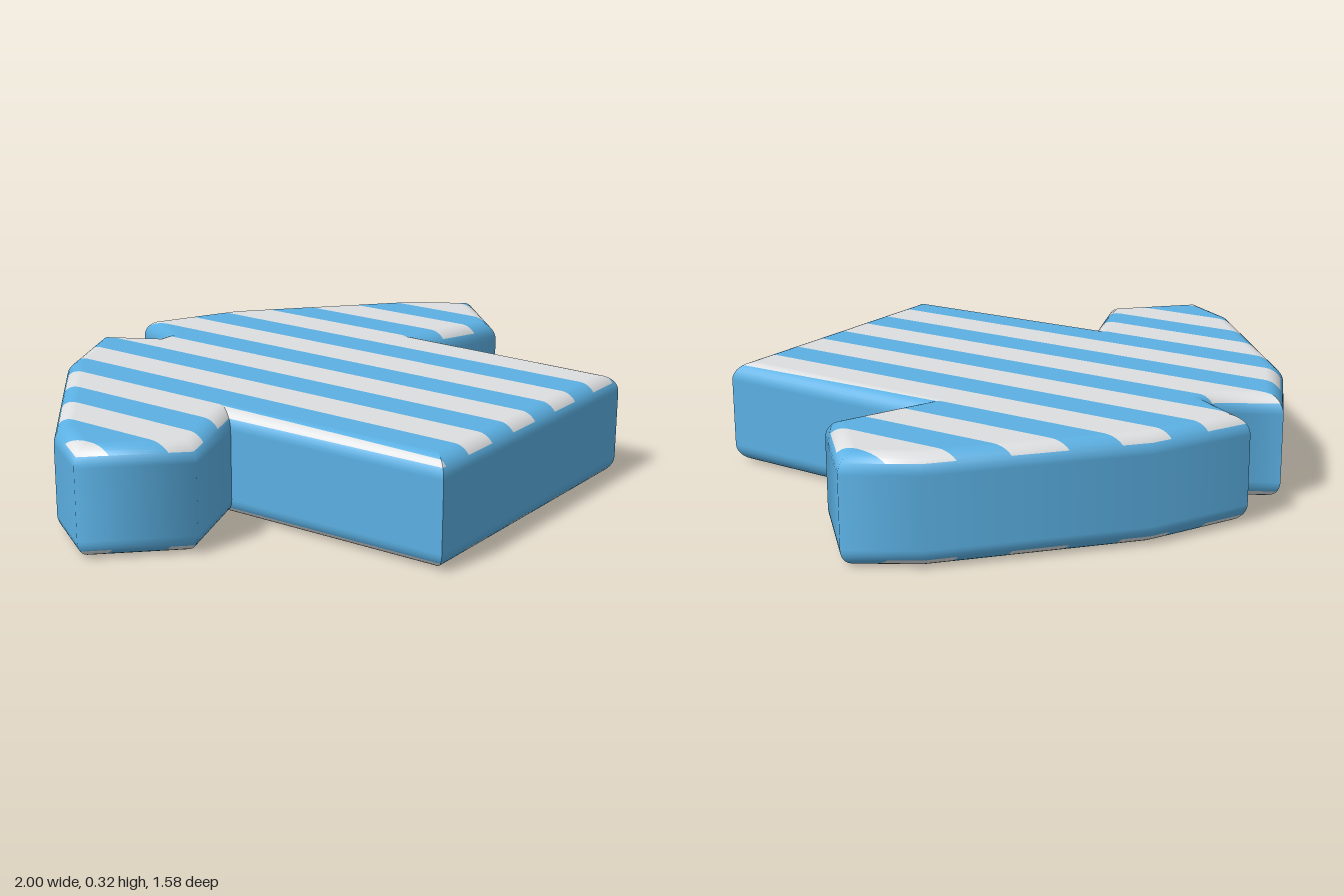
import * as THREE from 'three';

const HEIGHT = 0.318, RADIUS = 0.055, STEPS = 8, STRIPE_STEP = 3;
const PERIOD = 0.2318, BLUE_WIDTH = 0.112;

// Right half of the shirt outline as (x, z), from neck notch to hem
const HALF = [[0.012, -0.625], [0.108, -0.79], [0.405, -0.65], [0.885, -0.23],
  [1, -0.042], [0.77, 0.187], [0.502, 0.085], [0.488, 0.787]];

// Collects triangles, turning each one to agree with its normals
class Surface {
  positions = [];
  normals = [];
  addPolygon(corners) {
    for (let i = 1; i + 1 < corners.length; i++) {
      const t = [corners[0], corners[i], corners[i + 1]];
      const face = t[1].p.clone().sub(t[0].p).cross(t[2].p.clone().sub(t[0].p));
      if (face.lengthSq() < 1e-16) continue;
      const sum = t[0].n.clone().add(t[1].n).add(t[2].n);
      if (face.dot(sum) < 0) t.reverse();
      for (const v of t) {
        this.positions.push(...v.p.toArray());
        this.normals.push(...v.n.toArray());
      }
    }
  }
  mesh(name, material) {
    const g = new THREE.BufferGeometry();
    g.setAttribute('position', new THREE.Float32BufferAttribute(this.positions, 3));
    g.setAttribute('normal', new THREE.Float32BufferAttribute(this.normals, 3));
    const m = new THREE.Mesh(g, material);
    m.name = name;
    return m;
  }
}

// Keeps the part of a convex polygon where side * (x - limit) >= 0
function clip(poly, limit, side) {
  const out = [];
  poly.forEach((a, i) => {
    const b = poly[(i + 1) % poly.length];
    const da = side * (a.p.x - limit), db = side * (b.p.x - limit);
    if (da >= 0) out.push(a);
    if (da * db < 0) {
      const t = da / (da - db);
      out.push({ p: a.p.clone().lerp(b.p, t), n: a.n.clone().lerp(b.n, t).normalize() });
    }
  });
  return out;
}

export function createModel() {
  const blue = new THREE.MeshStandardMaterial({ color: 0x5bb0e3 });
  blue.name = 'sky blue';
  const grey = new THREE.MeshStandardMaterial({ color: 0xdcdedf });
  grey.name = 'light grey';

  const shell = new Surface(), blueStripes = new Surface(), greyStripes = new Surface();

  // Cuts a polygon into the stripes that run from neck to hem
  function addStriped(poly) {
    for (let k = -5; k < 5; k++) {
      const start = k * PERIOD, middle = start + BLUE_WIDTH, end = start + PERIOD;
      for (const [a, b, target] of [[start, middle, blueStripes], [middle, end, greyStripes]]) {
        const part = clip(clip(poly, a, 1), b, -1);
        if (part.length > 2) target.addPolygon(part);
      }
    }
  }

  // Outline with outward edge normals and mitred inward offsets
  const outline = [...HALF, ...HALF.map(([x, z]) => [-x, z]).reverse()]
    .map(([x, z]) => new THREE.Vector2(x, z));
  const count = outline.length;
  const edgeNormals = outline.map((p, i) => {
    const d = outline[(i + 1) % count].clone().sub(p).normalize();
    return new THREE.Vector2(d.y, -d.x);
  });
  const previous = i => edgeNormals[(i + count - 1) % count];
  const inset = (i, d) => {
    const a = previous(i), b = edgeNormals[i];
    return outline[i].clone().addScaledVector(a.clone().add(b), -d / (1 + a.dot(b)));
  };
  // Gentle corners are shaded smooth, tight ones stay sharp
  const cornerNormal = (corner, edge) => {
    const a = previous(corner), b = edgeNormals[corner];
    return a.dot(b) > Math.cos(80 * Math.PI / 180)
      ? a.clone().add(b).normalize() : edgeNormals[edge];
  };

  const vertex = (corner, edge, step, up) => {
    const angle = step / STEPS * Math.PI / 2;
    const q = inset(corner, RADIUS * (1 - Math.cos(angle)));
    const n = cornerNormal(corner, edge);
    const y = HEIGHT / 2 - RADIUS + RADIUS * Math.sin(angle);
    return {
      p: new THREE.Vector3(q.x, HEIGHT / 2 + up * y, q.y),
      n: new THREE.Vector3(n.x * Math.cos(angle), up * Math.sin(angle), n.y * Math.cos(angle)),
    };
  };

  // Side walls and rounded rims
  for (let i = 0; i < count; i++) {
    const j = (i + 1) % count;
    shell.addPolygon([vertex(i, i, 0, 1), vertex(j, i, 0, 1), vertex(j, i, 0, -1), vertex(i, i, 0, -1)]);
    for (const up of [1, -1]) {
      for (let s = 0; s < STEPS; s++) {
        const a = vertex(i, i, s, up), b = vertex(j, i, s, up);
        const c = vertex(j, i, s + 1, up), d = vertex(i, i, s + 1, up);
        for (const tri of [[a, b, c], [a, c, d]]) {
          if (s < STRIPE_STEP) shell.addPolygon(tri);
          else addStriped(tri);
        }
      }
    }
  }

  // Flat striped front and back of the shirt
  const cap = outline.map((_, i) => inset(i, RADIUS));
  for (const tri of THREE.ShapeUtils.triangulateShape(cap, [])) {
    for (const up of [1, -1]) {
      addStriped(tri.map(i => ({
        p: new THREE.Vector3(cap[i].x, up > 0 ? HEIGHT : 0, cap[i].y),
        n: new THREE.Vector3(0, up, 0),
      })));
    }
  }

  const group = new THREE.Group();
  group.name = 'stripedShirt';
  group.add(shell.mesh('shirtSides', blue), blueStripes.mesh('blueStripes', blue),
    greyStripes.mesh('greyStripes', grey));
  return group;
}
